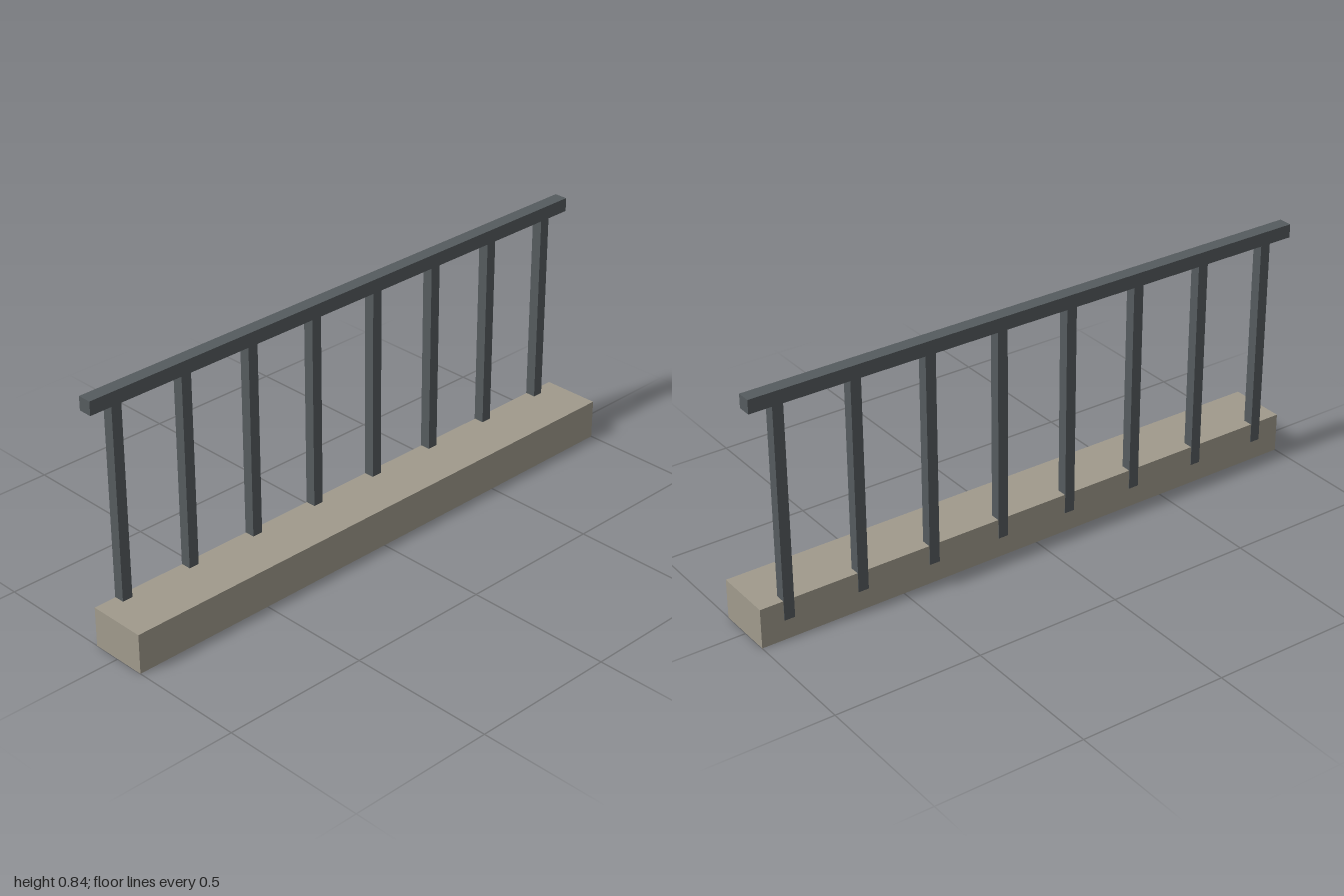
import * as THREE from 'three';

const stone = new THREE.MeshStandardMaterial({ color: 0xa09a8c });
const metal = new THREE.MeshStandardMaterial({ color: 0x555b5e });

// Box given by its size and the centre of its underside
function box(name, material, [w, h, d], [x, y, z]) {
  const mesh = new THREE.Mesh(new THREE.BoxGeometry(w, h, d), material);
  mesh.name = name;
  mesh.position.set(x, y + h / 2, z);
  return mesh;
}

export function createModel() {
  const model = new THREE.Group();
  model.name = 'railing';

  // Low kerb the railing stands on
  model.add(box('kerb', stone, [2, 0.135, 0.2], [0, 0, 0.004]));

  // Handrail along the back edge
  const railZ = -0.08;
  model.add(box('handrail', metal, [2, 0.046, 0.046], [0, 0.791, railZ]));

  // Evenly spaced posts, sunk into the kerb and just proud of its back face
  const posts = new THREE.Group();
  posts.name = 'posts';
  const count = 8, endX = 0.903;
  for (let i = 0; i < count; i++) {
    const x = -endX + (2 * endX * i) / (count - 1);
    posts.add(box('post', metal, [0.036, 0.724, 0.036], [x, 0.068, railZ]));
  }
  model.add(posts);

  return model;
}
